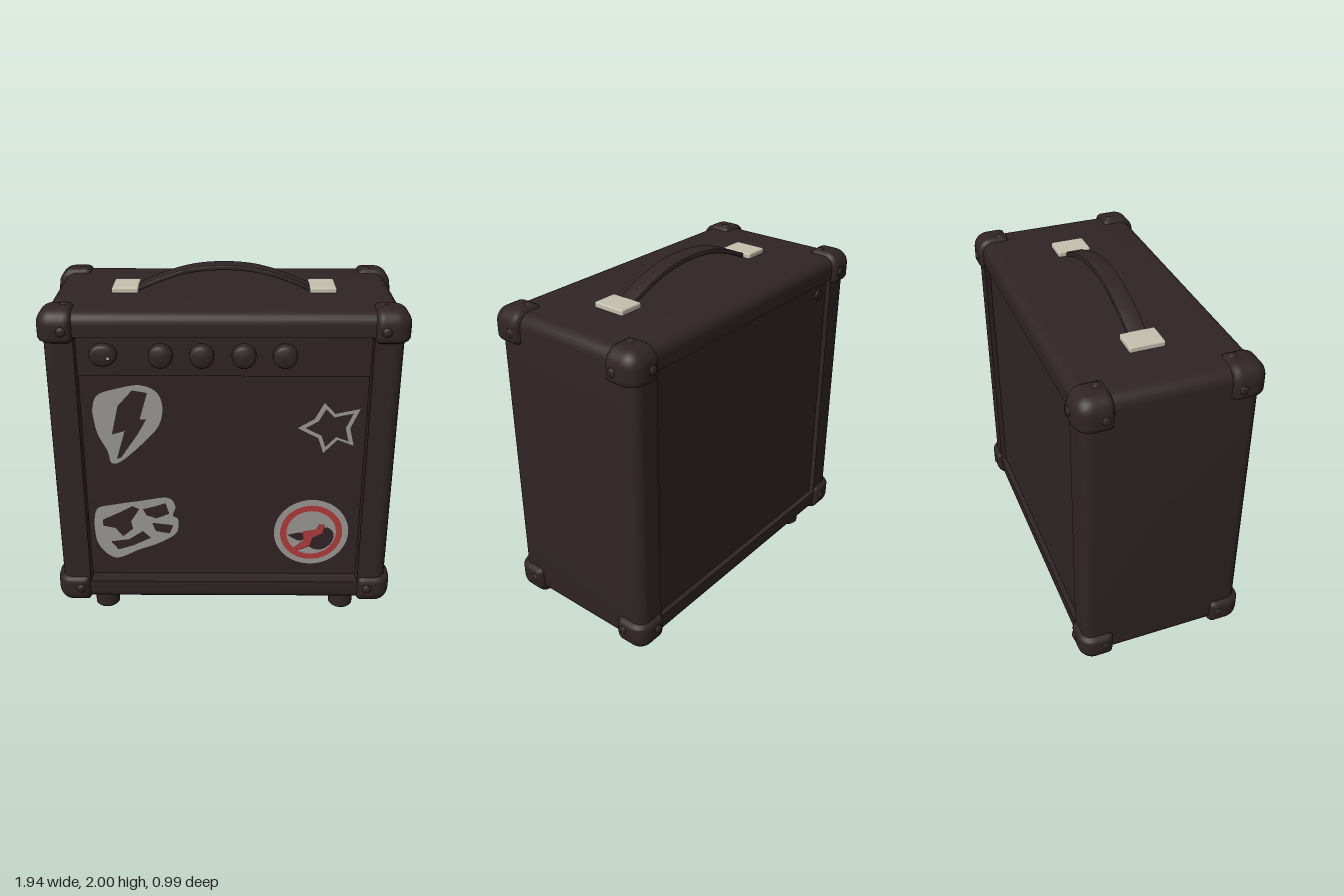
import * as THREE from 'three';
import { mergeVertices, toCreasedNormals } from 'three/addons/utils/BufferGeometryUtils.js';
import { RoundedBoxGeometry } from 'three/addons/geometries/RoundedBoxGeometry.js';

const material = (name, color) => {
  const m = new THREE.MeshStandardMaterial({ color });
  m.name = name;
  return m;
};

// Closed 2D outline from flat x, y pairs, straight or smoothed
function outline(flat, smooth = false) {
  const pts = [];
  for (let i = 0; i < flat.length; i += 2) pts.push(new THREE.Vector2(flat[i], flat[i + 1]));
  if (!smooth) return pts;
  return new THREE.SplineCurve([...pts, pts[0]]).getPoints(pts.length * 5).slice(0, -1);
}

// Rounded rectangle loop, counter-clockwise
function rectLoop(hx, hy, r) {
  const pts = [], n = 6;
  [[1, 1], [-1, 1], [-1, -1], [1, -1]].forEach(([sx, sy], k) => {
    for (let i = 0; i <= n; i++) {
      const a = (k + i / n) * Math.PI / 2;
      pts.push([sx * (hx - r) + r * Math.cos(a), sy * (hy - r) + r * Math.sin(a)]);
    }
  });
  return pts;
}

// Cabinet shell lofted from the back panel, round the outside, into the front recess
function cabinetGeometry() {
  const R = 0.06, D = 0.46, lip = 0.16;
  const profile = [[-0.43, 1], [-0.43, lip], [-D, lip]];
  for (let i = 0; i <= 6; i++) {
    const a = i / 6 * Math.PI / 2;
    profile.push([-D + R - R * Math.cos(a), R - R * Math.sin(a)]);
  }
  for (let i = 0; i <= 6; i++) {
    const a = i / 6 * Math.PI / 2;
    profile.push([D - R + R * Math.sin(a), R - R * Math.cos(a)]);
  }
  profile.push([D, lip], [0.375, lip], [0.375, 1]);
  const pos = [], index = [];
  let n = 0;
  profile.forEach(([z, d]) => {
    const flat = d === 1;
    const dy = d === lip ? 0.125 : d;
    const loop = flat ? rectLoop(0, 0, 0) : rectLoop(0.93 - d, 0.87 - dy, Math.max(0.07 - d, 0.005));
    n = loop.length;
    loop.forEach(([x, y]) => pos.push(x, y + 0.99, z));
  });
  for (let i = 0; i < profile.length - 1; i++) {
    for (let j = 0; j < n; j++) {
      const k = (j + 1) % n, a = i * n, b = a + n;
      index.push(a + j, a + k, b + k, a + j, b + k, b + j);
    }
  }
  const g = new THREE.BufferGeometry();
  g.setAttribute('position', new THREE.Float32BufferAttribute(pos, 3));
  g.setIndex(index);
  return toCreasedNormals(g, 0.6);
}

// Corner guard: box with a generous radius on its outer sides, a small one on the inner
function cornerGeometry(signs) {
  const half = [0.0975, 0.0925, 0.0975];
  let g = new THREE.BoxGeometry(...half.map(h => h * 2), 12, 12, 12);
  g.deleteAttribute('uv');
  g.deleteAttribute('normal');
  g = mergeVertices(g);
  const p = g.attributes.position;
  for (let i = 0; i < p.count; i++) {
    const v = [p.getX(i), p.getY(i), p.getZ(i)];
    const rad = v.map((c, a) => (c * signs[a] > 0 ? 0.085 : 0.03));
    const d = v.map((c, a) => Math.max(0, (Math.abs(c) - half[a] + rad[a]) / rad[a]));
    const len = Math.hypot(...d), k = len > 0 ? Math.max(...d) / len : 1;
    p.setXYZ(i, ...v.map((c, a) => (d[a] > 0 ? Math.sign(c) * (half[a] - rad[a] + d[a] * k * rad[a]) : c)));
  }
  g.computeVertexNormals();
  return g;
}

export function createModel() {
  const dark = material('dark vinyl', 0x302426);
  const cream = material('cream metal', 0xc4c0ae);
  const grey = material('sticker grey', 0x9a9894);
  const red = material('sticker red', 0xb0393a);
  const model = new THREE.Group();
  const add = (name, geo, mat, x = 0, y = 0, z = 0) => {
    const m = new THREE.Mesh(geo, mat);
    m.name = name;
    m.position.set(x, y, z);
    model.add(m);
    return m;
  };

  add('cabinet', cabinetGeometry(), dark);

  // Corner guards with a rivet on each outer face
  const rivet = new THREE.SphereGeometry(0.027, 14, 10);
  for (const sx of [-1, 1]) for (const sy of [-1, 1]) for (const sz of [-1, 1]) {
    const y = 0.99 + sy * 0.7975;
    add('cornerGuard', cornerGeometry([sx, sy, sz]), dark, sx * 0.8625, y, sz * 0.3875);
    add('rivetSide', rivet, dark, sx * 0.953, 0.99 + sy * 0.775, sz * 0.345).scale.x = 0.6;
    add('rivetEnd', rivet, dark, sx * 0.82, 0.99 + sy * 0.882, sz * 0.345).scale.y = 0.6;
    add('rivetFace', rivet, dark, sx * 0.825, 0.99 + sy * 0.78, sz * 0.481).scale.z = 0.6;
  }

  // Feet
  const foot = toCreasedNormals(new THREE.LatheGeometry(
    outline([0, 0, 0.06, 0, 0.07, 0.01, 0.07, 0.14]), 28), 0.6);
  for (const x of [-0.7, 0.7]) for (const z of [-0.31, 0.31]) add('foot', foot, dark, x, 0, z);

  // Carrying handle and its end brackets
  const top = [-0.52, 1.862, -0.44, 1.895, -0.33, 1.941, -0.17, 1.986, 0, 2,
    0.17, 1.986, 0.33, 1.941, 0.44, 1.895, 0.52, 1.862];
  const upper = new THREE.SplineCurve(outline(top)).getPoints(40);
  const lower = upper.map(p => new THREE.Vector2(p.x, p.y - 0.028)).reverse();
  const strap = new THREE.ExtrudeGeometry(new THREE.Shape([...lower, ...upper]), {
    depth: 0.084, bevelThickness: 0.008, bevelSize: 0.006, bevelOffset: -0.006, bevelSegments: 2,
  });
  add('handle', toCreasedNormals(strap, 0.6), dark, 0, 0, -0.042);
  for (const s of [-1, 1]) {
    add('handleBracket', new RoundedBoxGeometry(0.145, 0.035, 0.19, 2, 0.01), cream, s * 0.535, 1.872, 0);
  }

  // Control strip with a socket and four knobs
  add('controlPanel', new THREE.BoxGeometry(1.54, 0.24, 0.02), dark, 0, 1.618, 0.383);
  const knob = toCreasedNormals(new THREE.LatheGeometry(
    outline([0.065, 0, 0.063, 0.035, 0.056, 0.048, 0.044, 0.054, 0, 0.056]), 28).rotateX(Math.PI / 2), 0.7);
  [-0.33, -0.115, 0.105, 0.32].forEach(x => add('knob', knob, dark, x, 1.615, 0.392));
  add('inputSocket', knob, dark, -0.63, 1.62, 0.392).scale.set(1.15, 0.95, 0.8);
  add('socketGlint', new THREE.CircleGeometry(0.007, 10), cream, -0.6, 1.612, 0.44);

  // Small socket on the back panel
  add('backSocket', new THREE.CylinderGeometry(0.028, 0.03, 0.02, 18).rotateX(Math.PI / 2),
    dark, -0.68, 1.66, -0.437);

  // Flat stickers on the front panel
  const sticker = (name, mat, layer, contour, ...holes) => {
    const s = new THREE.Shape(contour);
    holes.forEach(h => s.holes.push(new THREE.Path(h)));
    return add(name, new THREE.ShapeGeometry(s), mat, 0, 0, 0.375 + 0.004 * layer);
  };
  sticker('pickSticker', grey, 1,
    outline([-0.71, 1.29, -0.68, 1.38, -0.57, 1.42, -0.45, 1.44, -0.36, 1.4, -0.33, 1.31, -0.355, 1.2,
      -0.44, 1.1, -0.56, 0.99, -0.62, 0.975, -0.64, 1.05, -0.69, 1.16], true),
    outline([-0.49, 1.41, -0.41, 1.395, -0.455, 1.24, -0.42, 1.24, -0.47, 1.15, -0.565, 1.01,
      -0.59, 1.0, -0.54, 1.17, -0.61, 1.15, -0.57, 1.32]));

  const star = outline([0.54, 1.34, 0.6, 1.275, 0.735, 1.305, 0.685, 1.19, 0.71, 1.085,
    0.62, 1.12, 0.545, 1.04, 0.515, 1.13, 0.4, 1.19, 0.49, 1.245]);
  const centre = new THREE.Vector2(0.585, 1.19);
  sticker('starSticker', grey, 1, star, star.map(p => p.clone().lerp(centre, 0.24)));

  sticker('mazeSticker', grey, 1,
    outline([-0.74, 0.57, -0.72, 0.68, -0.62, 0.71, -0.465, 0.735, -0.32, 0.755, -0.275, 0.7, -0.29, 0.64,
      -0.26, 0.61, -0.275, 0.52, -0.385, 0.45, -0.49, 0.41, -0.61, 0.355, -0.68, 0.385, -0.73, 0.465], true),
    outline([-0.69, 0.61, -0.57, 0.67, -0.52, 0.7, -0.48, 0.68, -0.53, 0.6, -0.52, 0.55,
      -0.58, 0.5, -0.62, 0.555, -0.69, 0.57]),
    outline([-0.46, 0.68, -0.385, 0.7, -0.33, 0.72, -0.31, 0.65, -0.385, 0.62, -0.44, 0.64]),
    outline([-0.41, 0.59, -0.29, 0.575, -0.31, 0.52, -0.39, 0.535]),
    outline([-0.65, 0.465, -0.545, 0.48, -0.465, 0.535, -0.42, 0.49, -0.52, 0.44, -0.61, 0.41]));

  // Round sticker: disc, ring, two dark patches and a red slash
  const [cx, cy] = [0.5, 0.53];
  add('roundSticker', new THREE.CircleGeometry(0.213, 48), grey, cx, cy, 0.379);
  add('stickerRing', new THREE.RingGeometry(0.142, 0.178, 48), red, cx, cy, 0.383);
  sticker('stickerPatchLeft', dark, 2,
    outline([0.365, 0.515, 0.44, 0.53, 0.47, 0.5, 0.44, 0.475, 0.4, 0.49], true));
  sticker('stickerPatchRight', dark, 2,
    outline([0.53, 0.54, 0.59, 0.565, 0.63, 0.52, 0.61, 0.45, 0.55, 0.415, 0.49, 0.44, 0.49, 0.5], true));
  sticker('stickerSlash', red, 3,
    outline([0.45, 0.54, 0.53, 0.555, 0.545, 0.59, 0.575, 0.585, 0.565, 0.53, 0.51, 0.5, 0.49, 0.44,
      0.42, 0.41, 0.4, 0.43, 0.46, 0.48]));
  return model;
}
